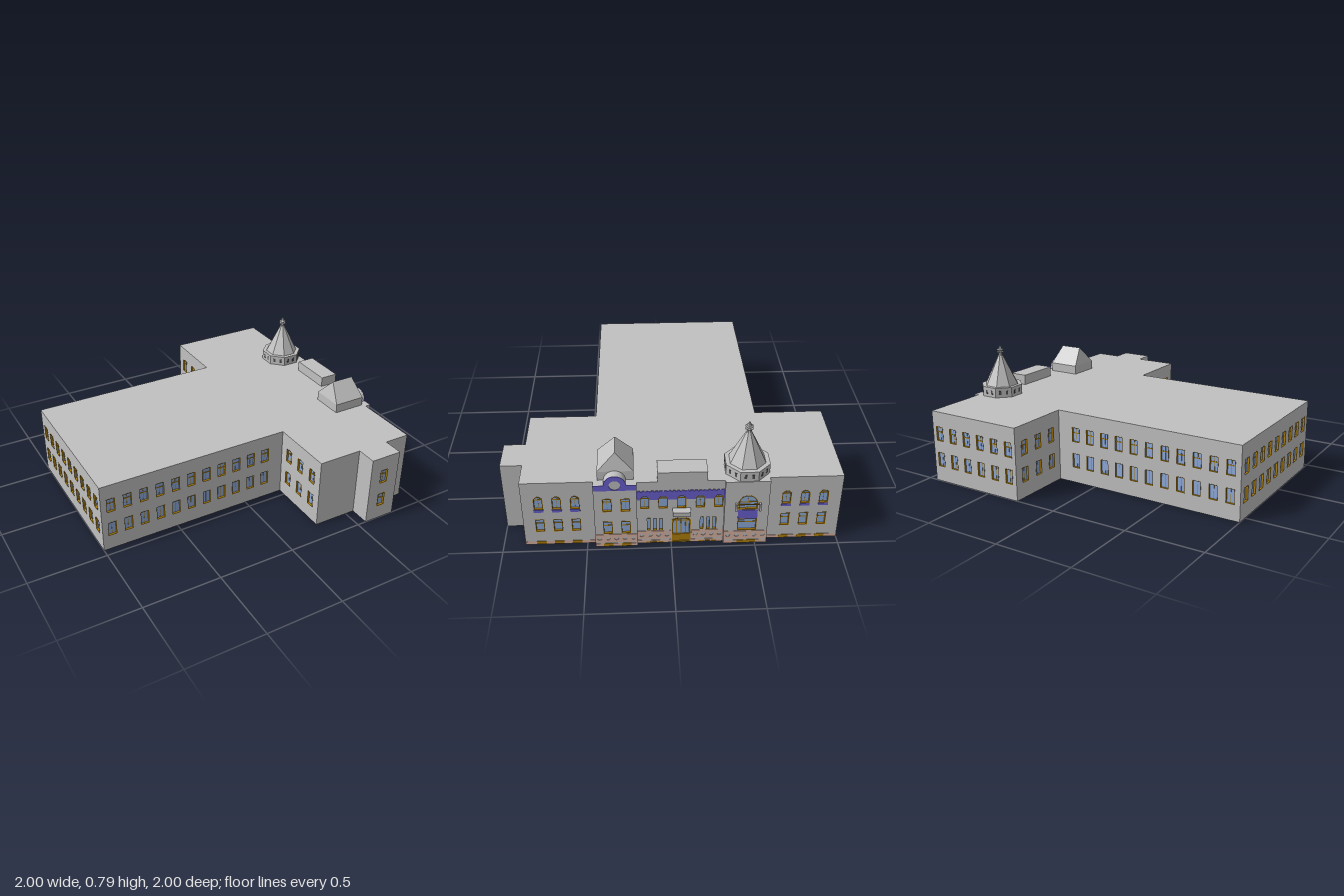
import * as THREE from 'three';
import { mergeGeometries } from 'three/addons/utils/BufferGeometryUtils.js';
import { ConvexGeometry } from 'three/addons/geometries/ConvexGeometry.js';

const paint = (name, color) => {
  const m = new THREE.MeshStandardMaterial({ color, side: THREE.DoubleSide });
  m.name = name;
  return m;
};
const stone = paint('grey stone', 0xc0c0c0);
const glass = paint('blue glass', 0x8fabdb);
const gold = paint('gold joinery', 0xb0800c);
const violet = paint('violet trim', 0x6a5fd0);
const pink = paint('pink plinth', 0xdab3a3);
const dark = paint('dark opening', 0x505054);

const H = 0.465;      // roof height
const DEPTH = 0.012;  // window recess

function mesh(name, geo, mat, x = 0, y = 0, z = 0) {
  const m = new THREE.Mesh(geo, mat);
  m.name = name;
  m.position.set(x, y, z);
  return m;
}

// flat-shaded copy
function flat(geo) {
  const g = geo.toNonIndexed();
  g.computeVertexNormals();
  return g;
}

const extrude = (shape, depth, z = 0) =>
  new THREE.ExtrudeGeometry(shape, { depth, bevelEnabled: false, curveSegments: 12 }).translate(0, 0, z);

const bar = (cx, cy, w, h, d, z) => new THREE.BoxGeometry(w, h, d).toNonIndexed().translate(cx, cy, z);

// rectangular opening whose head may rise in an arch
function opening(u, y0, y1, w, rise, inset = 0) {
  const a = w / 2 - inset, top = y1 - rise - (rise ? 0 : inset), s = new THREE.Shape();
  s.moveTo(u - a, y0 + inset).lineTo(u + a, y0 + inset).lineTo(u + a, top);
  if (rise) s.absellipse(u, top, a, rise - inset, 0, Math.PI, false, 0);
  else s.lineTo(u - a, top);
  s.closePath();
  return s;
}

// window record: c is the centre along the wall in world x or z
const win = (c, y0, y1, o = {}) => ({ c, y0, y1, w: 0.056, rise: 0, edge: 0.0025, ...o });

const plainRows = cs => cs.flatMap(c => [
  win(c, 0.10, 0.195, { mullion: true }),
  win(c, 0.272, 0.368, { transom: 0.33, mullion: true }),
]);
const facadeRows = (cs, rise) => cs.flatMap(c => [
  win(c, 0.10, 0.195, { transom: 0.157, edge: 0.005 }),
  win(c, 0.268, 0.365, { transom: 0.336, edge: 0.005, rise, mullion: true }),
]);
const spread = (a, b, n) => Array.from({ length: n }, (_, i) => a + (b - a) * (i + 0.5) / n);

// one wall from (x0,z0) to (x1,z1), with pierced windows
function wall(name, [x0, z0], [x1, z1], windows) {
  const g = new THREE.Group(), dx = x1 - x0, dz = z1 - z0, len = Math.hypot(dx, dz);
  g.name = name;
  g.position.set(x0, 0, z0);
  g.rotation.y = Math.atan2(-dz, dx);
  const face = new THREE.Shape();
  face.moveTo(0, 0).lineTo(len, 0).lineTo(len, H).lineTo(0, H).closePath();
  const panes = [], frames = [];
  for (const o of windows) {
    const u = Math.abs(o.c - (Math.abs(dx) > Math.abs(dz) ? x0 : z0));
    const outer = opening(u, o.y0, o.y1, o.w, o.rise);
    face.holes.push(opening(u, o.y0, o.y1, o.w, o.rise));
    panes.push(new THREE.ShapeGeometry(outer).translate(0, 0, -DEPTH));
    const rim = opening(u, o.y0, o.y1, o.w, o.rise);
    rim.holes.push(opening(u, o.y0, o.y1, o.w, o.rise, o.edge));
    frames.push(extrude(rim, DEPTH + 0.001, -DEPTH));
    if (o.transom) frames.push(bar(u, o.transom, o.w, 0.006, 0.005, -DEPTH));
    if (o.mullion) frames.push(bar(u, (o.y0 + o.y1) / 2, 0.002, o.y1 - o.y0, 0.003, -DEPTH));
  }
  g.add(mesh(name + 'Face', new THREE.ShapeGeometry(face), stone));
  if (panes.length) {
    g.add(mesh('windowPanes', mergeGeometries(panes), glass));
    g.add(mesh('windowFrames', mergeGeometries(frames), gold));
  }
  return g;
}

export function createModel() {
  const model = new THREE.Group();
  model.name = 'townHall';

  // Footprint corners, each with the name and windows of the wall that follows
  const longX = Array.from({ length: 11 }, (_, i) => -0.935 + i * 0.1075);
  const leftZ = [0.773, 0.667, 0.56], rightZ = [-0.677, -0.787, -0.896];
  const arcZ = [0.155, 0.048, -0.06, -0.17, -0.277];
  const slits = [0.133, 0.096, 0.06, -0.18, -0.218, -0.256];
  const plan = [
    [-1, 0.45, 'hallFront', plainRows(longX)],
    [0.27, 0.45, 'wingInnerFront', plainRows(spread(0.47, 0.85, 3))],
    [0.27, 0.87, 'wingFront', []],
    [0.56, 0.87, 'porchBack', []],
    [0.56, 1, 'porchFront', [win(0.662, 0.095, 0.19, { edge: 0.005, transom: 0.15 }),
      win(0.662, 0.272, 0.368, { transom: 0.33, mullion: true })]],
    [0.77, 1, 'porchSide', []],
    [0.77, 0.87, 'wingFrontEnd', plainRows([0.855]).map(o => ({ ...o, transom: o.transom || 0.157 }))],
    [0.94, 0.87, 'facadeLeft', facadeRows(leftZ, 0.028)],
    [0.94, 0.45, 'pavilionReturn', []],
    [0.975, 0.45, 'leftPavilion', facadeRows([0.373, 0.267], 0)],
    [0.975, 0.2, 'pavilionReturn', []],
    [0.955, 0.2, 'facadeMiddle', [
      ...arcZ.map(c => win(c, 0.268, 0.365, { rise: 0.028, edge: 0.005, transom: 0.336, mullion: true })),
      ...slits.map(c => win(c, 0.10, 0.195, { w: 0.022 })),
      win(-0.06, 0.002, 0.195, { w: 0.112, rise: 0.022, edge: 0.008, transom: 0.165 })]],
    [0.955, -0.31, 'pavilionReturn', []],
    [0.975, -0.31, 'towerPavilion', [
      win(-0.447, 0.10, 0.19, { w: 0.115, edge: 0.005, transom: 0.157 }),
      win(-0.447, 0.26, 0.365, { w: 0.115, rise: 0.057, edge: 0.006, transom: 0.308, mullion: true })]],
    [0.975, -0.57, 'pavilionReturn', []],
    [0.94, -0.57, 'facadeRight', facadeRows(rightZ, 0.028)],
    [0.94, -1, 'wingBack', plainRows(spread(0.94, 0.27, 6))],
    [0.27, -1, 'wingInnerBack', plainRows(spread(-0.98, -0.59, 3))],
    [0.27, -0.57, 'hallBack', plainRows(longX)],
    [-1, -0.57, 'hallEnd', plainRows(spread(-0.55, 0.43, 9))],
  ];
  plan.forEach((p, i) => model.add(wall(p[2], p, plan[(i + 1) % plan.length], p[3])));
  const roof = new THREE.Shape(plan.map(p => new THREE.Vector2(p[0], -p[1])));
  model.add(mesh('flatRoof', new THREE.ShapeGeometry(roof).rotateX(-Math.PI / 2), stone, 0, H, 0));

  // Plates on the entrance facade; local u runs along -z
  const onFacade = (name, geo, mat, x) => {
    const m = mesh(name, geo, mat, x);
    m.rotation.y = Math.PI / 2;
    model.add(m);
  };
  const plate = (name, mat, x, z0, z1, y0, y1, d = 0.004) =>
    onFacade(name, bar(-(z0 + z1) / 2, (y0 + y1) / 2, Math.abs(z1 - z0), y1 - y0, d, 0), mat, x);

  // Pink base course and pierced plinth
  for (const [x, z0, z1] of [[0.94, 0.87, 0.45], [0.975, 0.45, 0.2], [0.955, 0.2, 0],
    [0.955, -0.12, -0.31], [0.975, -0.31, -0.57], [0.94, -0.57, -1]]) {
    plate('baseCourse', pink, x, z0, z1, 0.002, 0.024);
    if (x === 0.94) continue;
    const s = new THREE.Shape();
    s.moveTo(-z0, 0.036).lineTo(-z1, 0.036).lineTo(-z1, 0.096).lineTo(-z0, 0.096).closePath();
    for (const u of spread(-z0, -z1, Math.round((z0 - z1) / 0.05)))
      s.holes.push(new THREE.Path().absarc(u, 0.066, 0.013, 0, Math.PI * 2));
    onFacade('plinth', extrude(s, 0.003), pink, x);
  }

  // Basement windows and violet sills
  const basement = (x, z, w, h) => plate('basementWindow', gold, x, z + w / 2, z - w / 2, 0.004, h, 0.007);
  for (const z of [...leftZ, ...rightZ]) {
    basement(0.94, z, 0.056, 0.025);
    plate('windowSill', violet, 0.941, z + 0.029, z - 0.029, 0.25, 0.268, 0.006);
  }
  for (const z of [0.373, 0.267]) basement(0.975, z, 0.056, 0.025);
  for (const z of slits) basement(0.955, z, 0.03, 0.014);
  basement(0.975, -0.447, 0.11, 0.025);

  // Violet frieze arched over the middle windows, with small merlons
  const frieze = new THREE.Shape();
  frieze.moveTo(-0.2, 0.337);
  for (const z of arcZ) frieze.lineTo(-z - 0.028, 0.337).absarc(-z, 0.337, 0.028, Math.PI, 0, true);
  frieze.lineTo(0.31, 0.337).lineTo(0.31, 0.396).lineTo(-0.2, 0.396).closePath();
  onFacade('frieze', extrude(frieze, 0.004), violet, 0.955);
  onFacade('friezeMerlons', mergeGeometries(spread(-0.2, 0.31, 20).map(u => bar(u, 0.399, 0.015, 0.007, 0.004, 0.002))), violet, 0.955);

  // Entrance door and balcony above
  plate('doorPanel', gold, 0.947, -0.006, -0.114, 0.003, 0.062, 0.008);
  for (const z of [-0.033, -0.06, -0.087]) plate('doorBar', gold, 0.945, z + 0.003, z - 0.003, 0.06, 0.185, 0.006);
  model.add(mesh('balcony', new THREE.BoxGeometry(0.045, 0.03, 0.106), stone, 0.9775, 0.253, -0.06));

  // Tower pavilion: violet panel and small railing
  plate('violetPanel', violet, 0.976, -0.39, -0.505, 0.192, 0.258);
  for (const z of [-0.378, -0.518])
    model.add(mesh('railPost', new THREE.BoxGeometry(0.018, 0.055, 0.01), stone, 0.982, 0.282, z));
  plate('rail', gold, 0.986, -0.378, -0.518, 0.303, 0.309);

  // Left pavilion: arched violet crest before a round dormer
  const crest = new THREE.Shape();
  crest.moveTo(-0.45, 0.427).lineTo(-0.2, 0.427).lineTo(-0.2, H).lineTo(-0.26, H);
  crest.absarc(-0.325, H, 0.065, 0, Math.PI, false).lineTo(-0.45, H).closePath();
  crest.holes.push(new THREE.Path().absarc(-0.325, H, 0.033, 0, Math.PI * 2));
  onFacade('crest', extrude(crest, 0.004), violet, 0.975);
  const round = new THREE.Shape().absarc(-0.325, H, 0.064, 0, Math.PI, false);
  onFacade('roundDormer', extrude(round, 0.065), stone, 0.91);

  // Gabled roof pavilion, hipped towards the rear
  const hull = [];
  for (const x of [0.71, 0.925]) for (const z of [0.215, 0.425]) for (const y of [H, 0.525])
    hull.push(new THREE.Vector3(x, y, z));
  hull.push(new THREE.Vector3(0.746, 0.64, 0.32), new THREE.Vector3(0.9, 0.64, 0.32));
  model.add(mesh('gabledRoof', new ConvexGeometry(hull), stone));

  // Parapet block over the entrance
  model.add(mesh('parapetBlock', new THREE.BoxGeometry(0.12, 0.068, 0.288), stone, 0.899, H + 0.034, -0.064));

  // Octagonal tower: drum, spire and finial
  const tower = new THREE.Group();
  tower.name = 'tower';
  tower.position.set(0.842, 0, -0.445);
  const octagon = (name, r0, r1, y0, y1) => tower.add(mesh(name,
    flat(new THREE.CylinderGeometry(r1, r0, y1 - y0, 8).rotateY(Math.PI / 8)), stone, 0, (y0 + y1) / 2, 0));
  octagon('drum', 0.139, 0.139, H, 0.53);
  octagon('spire', 0.112, 0.016, 0.53, 0.725);
  octagon('finialStem', 0.013, 0.013, 0.725, 0.76);
  octagon('finialCollar', 0.024, 0.024, 0.745, 0.75);
  octagon('finialCap', 0.024, 0.018, 0.762, 0.768);
  octagon('finialTip', 0.014, 0.003, 0.768, 0.79);
  for (let i = 0; i < 8; i++) for (const s of [-0.022, 0.022]) {
    const slot = new THREE.BoxGeometry(0.014, 0.026, 0.004).translate(s, 0.497, 0.1285).rotateY(i * Math.PI / 4);
    tower.add(mesh('drumOpening', slot, dark));
  }
  model.add(tower);
  return model;
}
